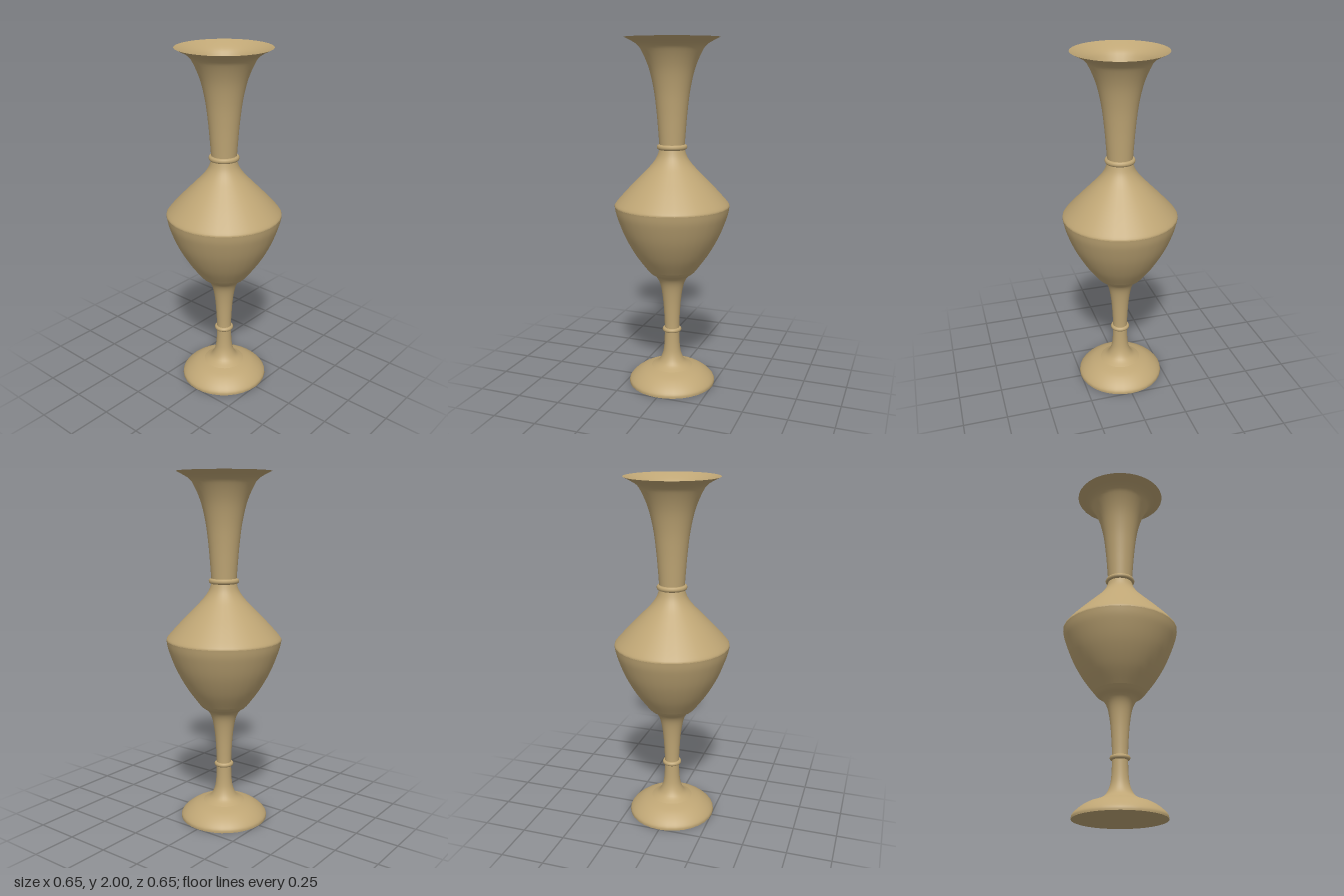
import * as THREE from 'three';

const SEGMENTS = 32;

export function createModel() {
  const vase = new THREE.Group();
  vase.name = 'vase';
  const clay = new THREE.MeshStandardMaterial({ color: 0xbfa675, side: THREE.DoubleSide });
  clay.name = 'tan clay';

  // Turns a smooth [radius, height] profile, listed from bottom to top, into a thin wall
  function turn(name, profile, samples) {
    const curve = new THREE.SplineCurve(profile.map(([r, y]) => new THREE.Vector2(r, y)));
    const mesh = new THREE.Mesh(new THREE.LatheGeometry(curve.getPoints(samples), SEGMENTS), clay);
    mesh.name = name;
    vase.add(mesh);
  }

  // Small rounded ring around the stem or neck
  function ring(name, radius, tube, y) {
    const geometry = new THREE.TorusGeometry(radius, tube, 8, SEGMENTS);
    geometry.rotateX(Math.PI / 2);
    const mesh = new THREE.Mesh(geometry, clay);
    mesh.name = name;
    mesh.position.y = y;
    vase.add(mesh);
  }

  // Flat underside, also the floor seen down the hollow stem
  const base = new THREE.CircleGeometry(0.253, SEGMENTS);
  base.rotateX(Math.PI / 2);
  const underside = new THREE.Mesh(base, clay);
  underside.name = 'underside';
  vase.add(underside);

  // Foot and stem
  turn('foot', [[0.253, 0], [0.25, 0.02], [0.222, 0.05], [0.176, 0.08], [0.12, 0.1]], 16);
  turn('stem', [
    [0.12, 0.1], [0.08, 0.125], [0.056, 0.17], [0.046, 0.23], [0.043, 0.32], [0.045, 0.4],
    [0.053, 0.51], [0.068, 0.6], [0.092, 0.65], [0.125, 0.675], [0.145, 0.697],
  ], 40);
  ring('stemRing', 0.043, 0.013, 0.325);

  // Belly, shoulder and throat
  turn('belly', [
    [0.145, 0.697], [0.212, 0.79], [0.272, 0.9], [0.314, 1.01], [0.327, 1.07],
  ], 24);
  turn('shoulder', [
    [0.327, 1.07], [0.317, 1.09], [0.245, 1.17], [0.167, 1.25], [0.115, 1.305], [0.085, 1.35], [0.07, 1.395],
  ], 24);
  ring('neckRing', 0.071, 0.015, 1.403);

  // Flared neck
  turn('neck', [
    [0.07, 1.395], [0.076, 1.48], [0.086, 1.6], [0.101, 1.72], [0.126, 1.83],
    [0.163, 1.92], [0.195, 1.963], [0.262, 2],
  ], 32);

  return vase;
}
